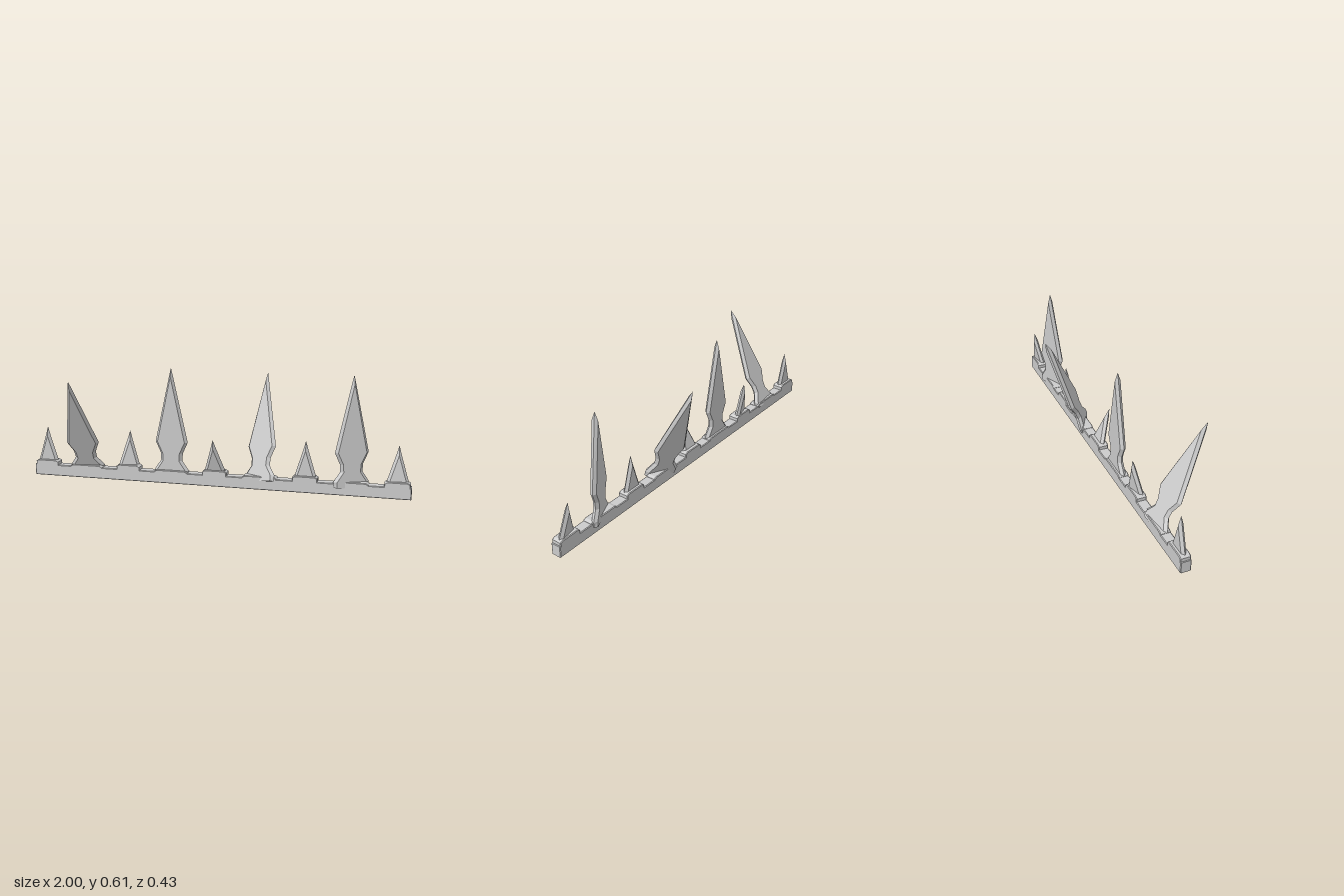
import * as THREE from 'three';

const material = new THREE.MeshStandardMaterial({ color: 0xcccccc, flatShading: true, side: THREE.DoubleSide });
const MID_Z = -0.02;

// Rows of [height, edge half width, face half width]; each row is a flat hexagon.
const TALL = [
  [-0.03, 0.088, 0.076], [0, 0.092, 0.076], [0.018, 0.08, 0.064], [0.05, 0.058, 0.043],
  [0.09, 0.06, 0.045], [0.15, 0.087, 0.073], [0.495, 0.0105, 0], [0.54, 0, 0],
];
const SHORT = [
  [-0.03, 0.06, 0.046], [0.015, 0.054, 0.04], [0.145, 0.014, 0], [0.195, 0, 0],
];

// Bevelled blade lofted through the hexagonal rows
function bladeGeometry(rows, t) {
  const positions = [];
  const index = [];
  rows.forEach(([y, o, i], r) => {
    const d = r === rows.length - 1 ? 0 : t;
    positions.push(o, y, 0, i, y, -d, -i, y, -d, -o, y, 0, -i, y, d, i, y, d);
    if (r === 0) return;
    for (let k = 0; k < 6; k++) {
      const a = (r - 1) * 6 + k, b = (r - 1) * 6 + (k + 1) % 6;
      index.push(a, b, b + 6, a, b + 6, a + 6);
    }
  });
  for (let k = 1; k < 5; k++) index.push(0, k + 1, k);
  const g = new THREE.BufferGeometry();
  g.setAttribute('position', new THREE.Float32BufferAttribute(positions, 3));
  g.setIndex(index);
  const flat = g.toNonIndexed();
  flat.computeVertexNormals();
  return flat;
}

// Rail whose top outline rises into a low tab under each spike
function railGeometry(spikes) {
  const s = new THREE.Shape();
  s.moveTo(-1, 0);
  s.lineTo(1, 0);
  s.lineTo(1, 0.06);
  for (const { x, tall } of [...spikes].reverse()) {
    const w = tall ? 0.09 : 0.064;
    const h = tall ? 0.07 : 0.085;
    s.lineTo(x + w, 0.06);
    s.lineTo(x + w, h - 0.008);
    s.lineTo(x + w - 0.015, h);
    s.lineTo(x - w + 0.015, h);
    s.lineTo(x - w, h - 0.008);
    s.lineTo(x - w, 0.06);
  }
  s.lineTo(-1, 0.06);
  s.closePath();
  const g = new THREE.ExtrudeGeometry(s, {
    depth: 0.047, bevelEnabled: true, bevelSegments: 1,
    bevelSize: 0.003, bevelOffset: -0.003, bevelThickness: 0.004,
  });
  g.translate(0, 0, -0.044);
  return g;
}

export function createModel() {
  const group = new THREE.Group();
  group.name = 'spikedRail';

  // Alternating short and tall spikes, some bent forward, back or twisted
  const spikes = [
    { x: -0.93 },
    { x: -0.705, tall: true, tilt: 0.447, yaw: 0.1 },
    { x: -0.47, tilt: -0.12, yaw: 0.25 },
    { x: -0.235, tall: true },
    { x: 0, tilt: 0.31 },
    { x: 0.235, tall: true, tilt: -0.37, yaw: -0.45 },
    { x: 0.47 },
    { x: 0.7, tall: true, yaw: 0.4 },
    { x: 0.93, tilt: -0.13, yaw: 0.15 },
  ];

  const rail = new THREE.Mesh(railGeometry(spikes), material);
  rail.name = 'rail';
  group.add(rail);

  const tallBlade = bladeGeometry(TALL, 0.015);
  const shortBlade = bladeGeometry(SHORT, 0.013);
  for (const { x, tall = false, tilt = 0, yaw = 0 } of spikes) {
    const spike = new THREE.Mesh(tall ? tallBlade : shortBlade, material);
    spike.name = tall ? 'tallSpike' : 'shortSpike';
    spike.position.set(x, 0.07, MID_Z);
    spike.rotation.set(tilt, yaw, 0);
    group.add(spike);
  }
  return group;
}
